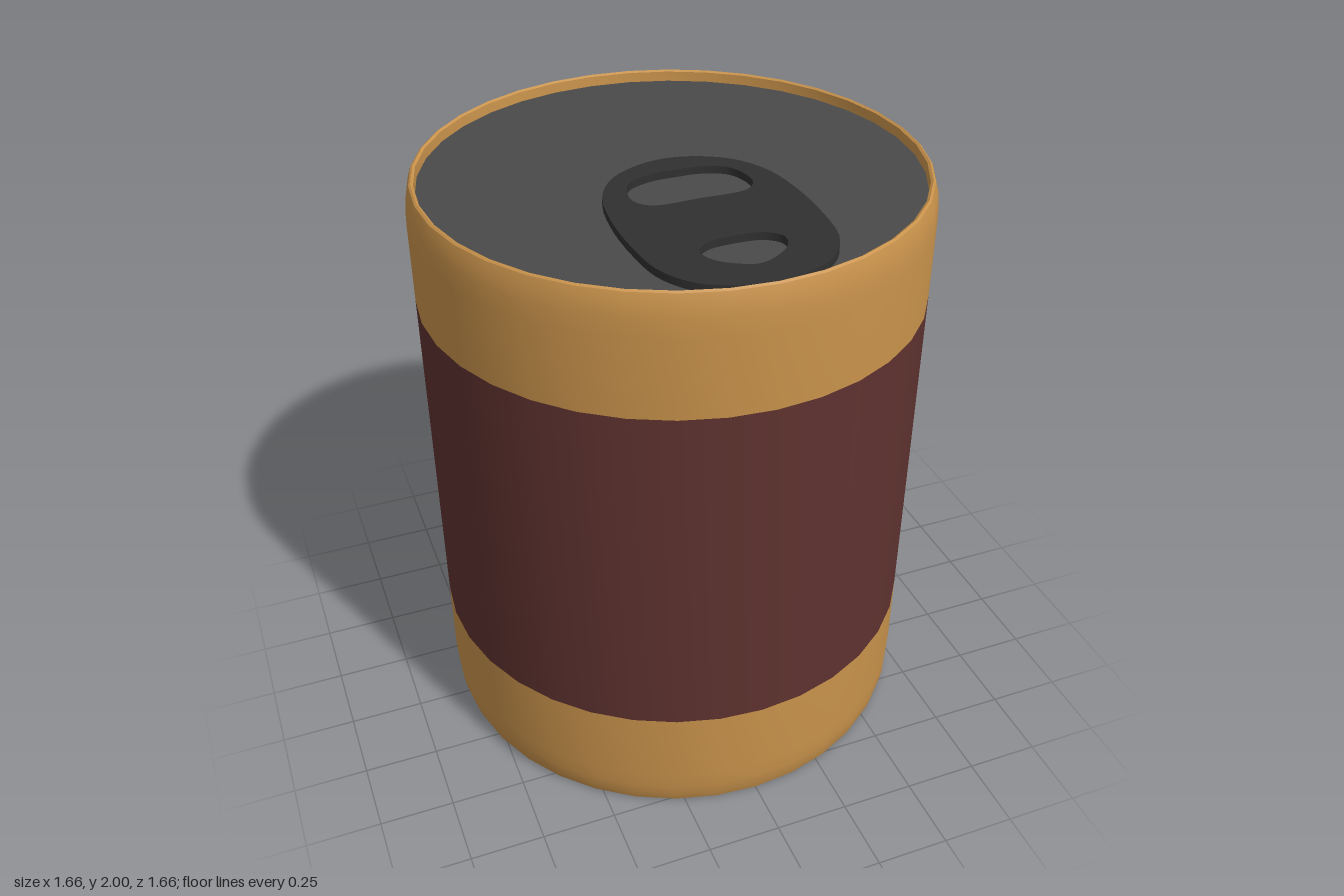
import * as THREE from 'three';
import { toCreasedNormals } from 'three/addons/utils/BufferGeometryUtils.js';

const SIDES = 36;
const mat = (color) => new THREE.MeshStandardMaterial({ color, side: THREE.DoubleSide });
const gold = mat(0xc8924b);
const maroon = mat(0x5e322f);
const lidGrey = mat(0x4a4a4a);
const tabGrey = mat(0x303030);

// Surface of revolution from [radius, height] pairs, listed bottom to top
function ring(name, profile, material) {
  const points = profile.map(([r, y]) => new THREE.Vector2(r, y));
  const geometry = toCreasedNormals(new THREE.LatheGeometry(points, SIDES), 0.6);
  const mesh = new THREE.Mesh(geometry, material);
  mesh.name = name;
  return mesh;
}

// Closed smooth outline, mirrored in x; first and last points lie on the axis
function outline(half) {
  const mirrored = half.slice(1, -1).reverse().map(([x, z]) => [-x, z]);
  const points = [...half, ...mirrored].map(([x, z]) => new THREE.Vector3(x, z, 0));
  return new THREE.CatmullRomCurve3(points, true).getPoints(64).slice(0, -1)
    .map((p) => new THREE.Vector2(p.x, p.y));
}

export function createModel() {
  const can = new THREE.Group();
  can.name = 'can';

  // Body bands, with the shoulder and the foot curving inwards
  const shoulder = [[0.83, 1.6], [0.83, 1.86], [0.828, 1.92], [0.822, 1.965], [0.812, 1.995],
    [0.805, 2], [0.797, 1.995], [0.795, 1.96]];
  can.add(ring('upperBand', shoulder, gold));
  can.add(ring('label', [[0.83, 0.4], [0.83, 1.6]], maroon));
  const foot = shoulder.map(([r, y]) => [r, 2 - y]).reverse();
  foot[0] = [0.797, 0.01];
  can.add(ring('lowerBand', foot, gold));

  // Lid and base discs
  can.add(ring('lid', [[0.796, 1.962], [0, 1.962]], lidGrey));
  can.add(ring('base', [[0, 0.008], [0.799, 0.008]], lidGrey));

  // Pull tab with a finger hole and a rivet hole
  const tabShape = new THREE.Shape(outline([[0, -0.07], [0.1, -0.05], [0.2, 0.01], [0.27, 0.12],
    [0.298, 0.28], [0.298, 0.46], [0.275, 0.61], [0.21, 0.71], [0.11, 0.765], [0, 0.785]]));
  const holes = [
    [[0, 0.022], [0.09, 0.028], [0.165, 0.065], [0.195, 0.14], [0.19, 0.195], [0.15, 0.232], [0, 0.236]],
    [[0, 0.497], [0.09, 0.509], [0.13, 0.55], [0.115, 0.605], [0.06, 0.652], [0, 0.674]],
  ];
  holes.forEach((half) => tabShape.holes.push(new THREE.Path(outline(half))));
  const tabGeometry = new THREE.ExtrudeGeometry(tabShape, { depth: 0.025, bevelEnabled: false });
  tabGeometry.rotateX(Math.PI / 2);
  const tab = new THREE.Mesh(toCreasedNormals(tabGeometry, 0.6), tabGrey);
  tab.name = 'pullTab';
  tab.position.y = 1.987;
  can.add(tab);

  return can;
}
